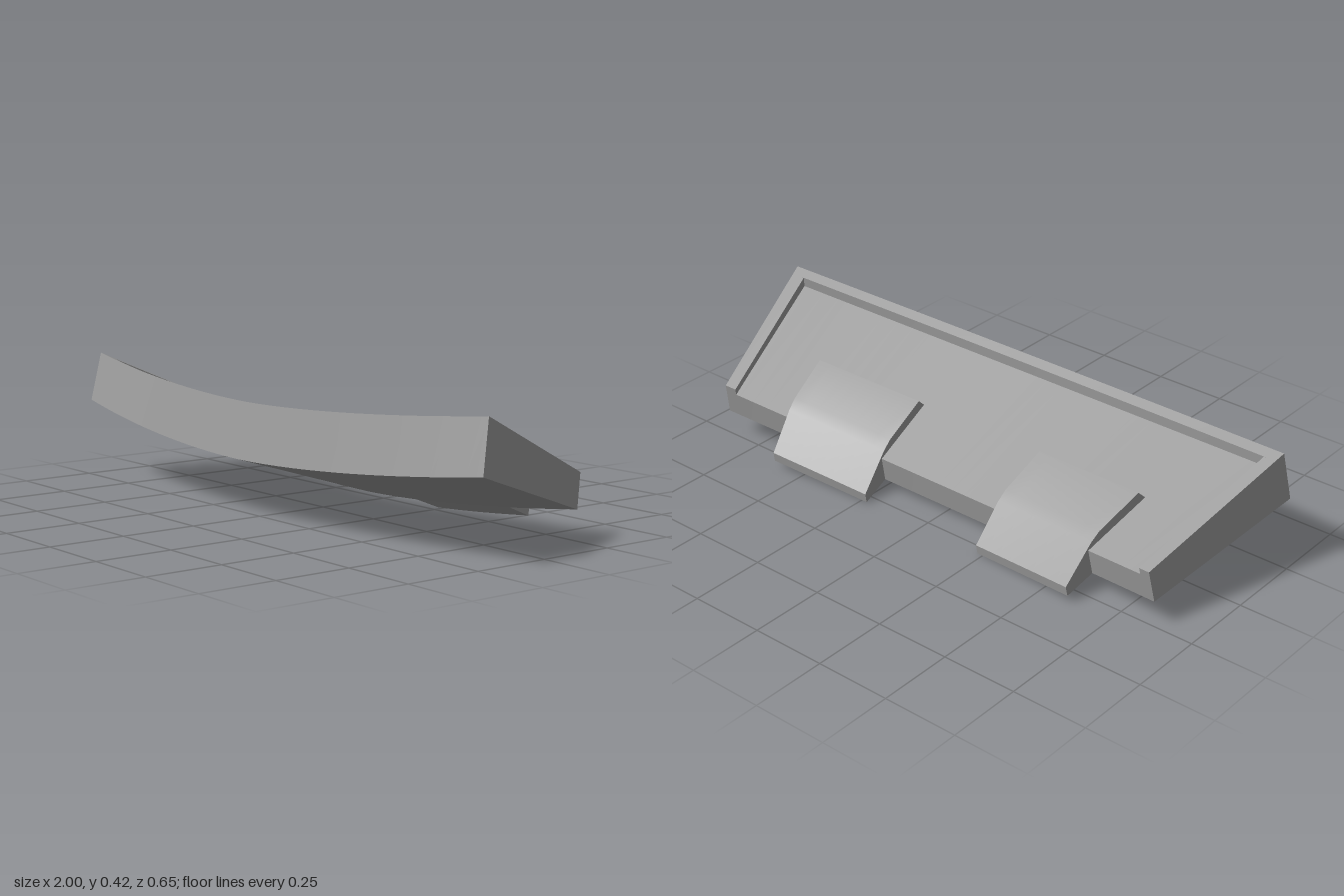
import * as THREE from 'three';
import { toCreasedNormals } from 'three/addons/utils/BufferGeometryUtils.js';

const lerp = THREE.MathUtils.lerp;

// Maps panel coordinates to space: t across (-1..1), u back to front, h bottom to top.
function panelPoint(t, u, h) {
  const s = Math.pow(Math.abs(t), 1.75);
  const backBottom = [0.87 * t, 0.034 + 0.061 * s, -0.179 - 0.079 * s];
  const backTop = [0.86 * t, 0.139 + 0.063 * s, -0.199 - 0.079 * s];
  const frontBottom = [1.0 * t, 0.188 + 0.072 * s, 0.324 - 0.089 * s];
  const frontTop = [0.985 * t, 0.364 + 0.059 * s, 0.295 - 0.092 * s];
  return [0, 1, 2].map((i) =>
    lerp(lerp(backBottom[i], backTop[i], h), lerp(frontBottom[i], frontTop[i], h), u));
}

// Sweeps a (u, h) profile across the panel from t0 to t1, following its curve.
function sweep(name, profile, t0, t1, steps) {
  const shape = new THREE.Shape(profile.map(([u, h]) => new THREE.Vector2(u, h)));
  const geo = new THREE.ExtrudeGeometry(shape, { depth: t1 - t0, steps, bevelEnabled: false });
  const pos = geo.attributes.position;
  for (let i = 0; i < pos.count; i++) {
    // t is negated so that the swap of axes keeps the faces outward
    pos.setXYZ(i, ...panelPoint(-(pos.getZ(i) + t0), pos.getX(i), pos.getY(i)));
  }
  const mesh = new THREE.Mesh(
    toCreasedNormals(geo, 0.35),
    new THREE.MeshStandardMaterial({ color: 0x9d9d9d }));
  mesh.name = name;
  return mesh;
}

export function createModel() {
  const group = new THREE.Group();
  group.name = 'curvedPanel';
  const floor = 0.8;

  // Curved plate with the raised front lip
  group.add(sweep('plate',
    [[0, 0], [1, 0], [1, 1], [0.935, 1], [0.93, floor], [0, floor]], -1, 1, 32));

  // Raised side rims
  const rim = [[0, floor], [0.93, floor], [0.935, 1], [0, 1]];
  group.add(sweep('leftRim', rim, -1, -0.955, 1));
  group.add(sweep('rightRim', rim, 0.955, 1, 1));

  // Clips lying on the plate and bending down over its back edge
  const clip = [[0.46, 0.75], [0.41, 1.06], [0.1, 1.06], [0.03, 0.96], [-0.195, 0.27],
    [-0.195, -0.08], [0, 0], [0.02, 0.02], [0.02, 0.75]];
  group.add(sweep('leftClip', clip, -0.714, -0.272, 8));
  group.add(sweep('rightClip', clip, 0.272, 0.714, 8));

  return group;
}
